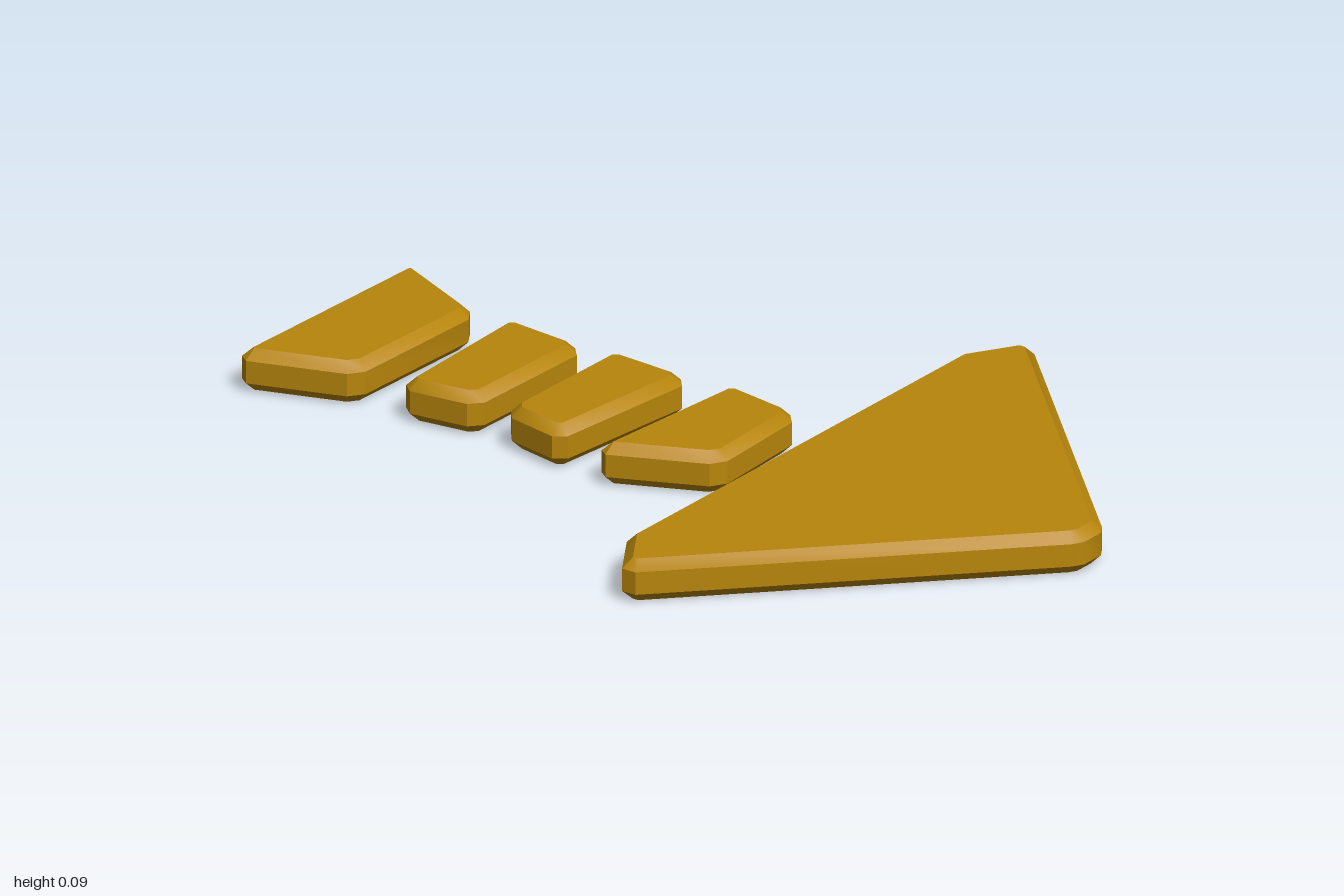
import * as THREE from 'three';
import { toCreasedNormals } from 'three/addons/utils/BufferGeometryUtils.js';

const HEIGHT = 0.095;
const BEVEL = 0.022;
const material = new THREE.MeshStandardMaterial({ color: 0xb8860b });

// Replace every corner of an outline by a short chamfer
function chamfer(corners, cut) {
  const points = corners.map(([x, z]) => new THREE.Vector2(x, z));
  return points.flatMap((p, i) => {
    const before = points[(i + points.length - 1) % points.length];
    const after = points[(i + 1) % points.length];
    return [before, after].map((q) => p.clone().add(q.clone().sub(p).setLength(cut)));
  });
}

// Flat plate with bevelled top and bottom rims; the outline is given in x, z
function plate(name, outline) {
  const depth = HEIGHT - 2 * BEVEL;
  const geometry = new THREE.ExtrudeGeometry(new THREE.Shape(outline), {
    depth,
    bevelThickness: BEVEL,
    bevelSize: BEVEL,
    bevelOffset: -BEVEL,
    bevelSegments: 1,
  });
  geometry.rotateX(Math.PI / 2);
  geometry.translate(0, depth + BEVEL, 0);
  const mesh = new THREE.Mesh(toCreasedNormals(geometry, 0.6), material);
  mesh.name = name;
  return mesh;
}

export function createModel() {
  const group = new THREE.Group();
  group.name = 'arrow';

  // Triangular arrowhead: one half of the outline, mirrored in x
  const half = [[0.59, 0.225], [0.71, 0.3], [0.71, 0.335], [0.055, 0.985], [0.03, 1]];
  const mirrored = half.map(([x, z]) => [-x, z]).reverse();
  const head = [...half, ...mirrored].map(([x, z]) => new THREE.Vector2(x, z));
  group.add(plate('arrowHead', head));

  // Uneven shaft pieces, from the head backwards, ending in the flared tail
  const pieces = {
    shaftFront: [[-0.255, -0.103], [0.182, -0.065], [0.146, 0.135], [-0.148, 0.148]],
    shaftMiddle: [[-0.2, -0.375], [0.182, -0.37], [0.166, -0.16], [-0.238, -0.203]],
    shaftBack: [[-0.218, -0.632], [0.191, -0.645], [0.168, -0.435], [-0.197, -0.446]],
    tail: [[-0.295, -1.002], [0.306, -0.98], [0.186, -0.728], [-0.212, -0.743]],
  };
  for (const [name, corners] of Object.entries(pieces)) {
    group.add(plate(name, chamfer(corners, 0.025)));
  }
  return group;
}
